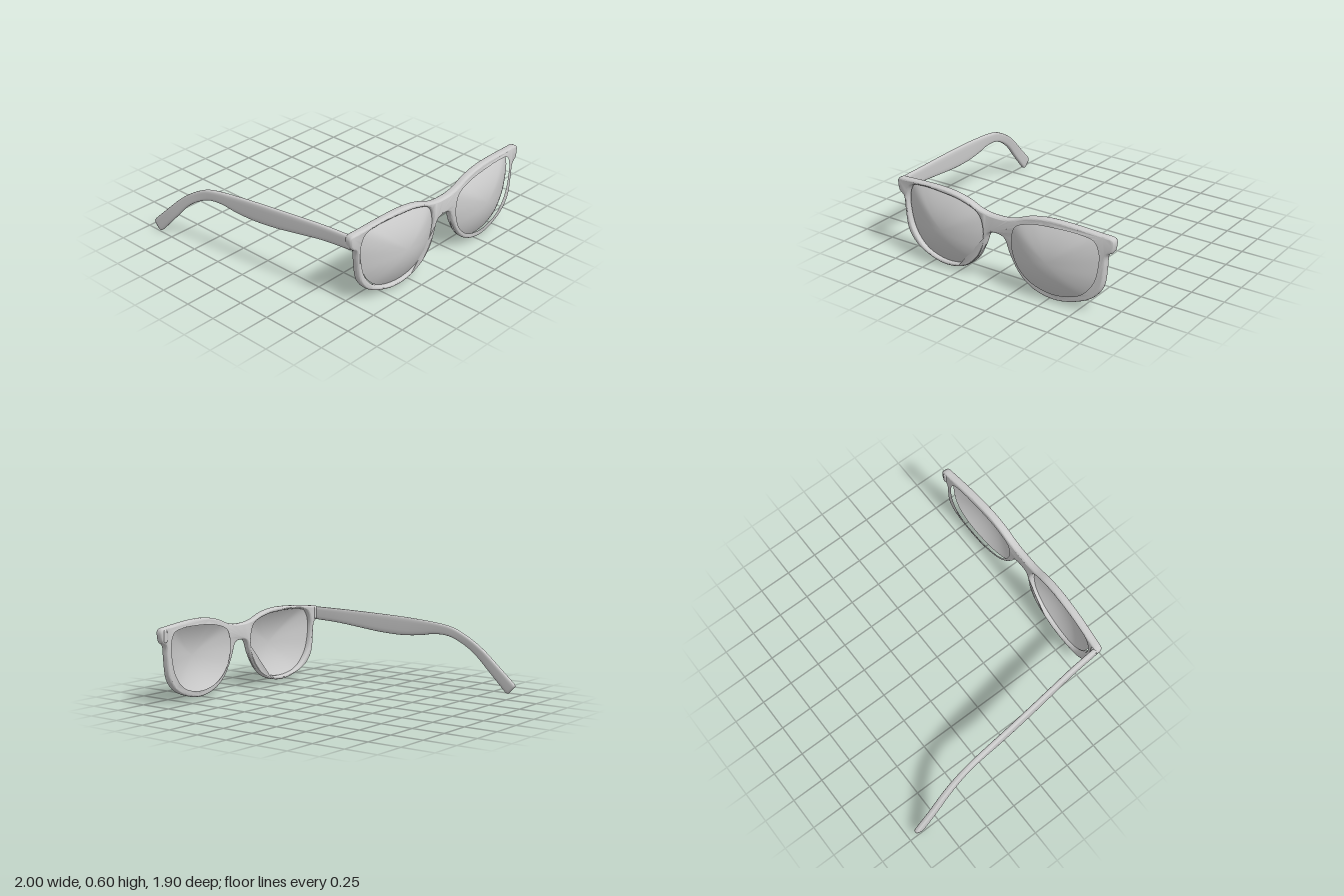
import * as THREE from 'three';
import { toCreasedNormals, mergeVertices } from 'three/addons/utils/BufferGeometryUtils.js';
import { RoundedBoxGeometry } from 'three/addons/geometries/RoundedBoxGeometry.js';

const grey = new THREE.MeshStandardMaterial({ color: 0xcccccc });
const thin = new THREE.MeshStandardMaterial({ color: 0xcccccc, side: THREE.DoubleSide });
const CX = 0.09; // middle of the bridge

// The front sweeps back towards both ends
const bend = (u) => 0.88 - 0.05 * (u / 0.91) ** 2;

function smoothLoop(pts, n) {
  const curve = new THREE.CatmullRomCurve3(pts.map(([x, y]) => new THREE.Vector3(x, y, 0)), true, 'centripetal');
  return curve.getSpacedPoints(n).slice(0, n).map((p) => new THREE.Vector2(p.x, p.y));
}

// Surface through rings of equal point count; the rings are closed loops
function loft(rings) {
  const n = rings[0].length, index = [];
  for (let i = 0; i < rings.length - 1; i++) {
    for (let j = 0; j < n; j++) {
      const a = i * n + j, b = i * n + (j + 1) % n;
      index.push(a, b, a + n, b, b + n, a + n);
    }
  }
  const geo = new THREE.BufferGeometry();
  geo.setAttribute('position', new THREE.Float32BufferAttribute(rings.flat(2), 3));
  geo.setIndex(index);
  const merged = mergeVertices(geo, 1e-5);
  merged.computeVertexNormals();
  return merged;
}

function add(group, name, geo, material = grey) {
  const mesh = new THREE.Mesh(geo, material);
  mesh.name = name;
  group.add(mesh);
  return mesh;
}

// Half outline of the frame, bridge top to bridge underside
const half = [
  [0, 0.52], [0.07, 0.523], [0.15, 0.54], [0.25, 0.578], [0.38, 0.603], [0.52, 0.607], [0.68, 0.598],
  [0.82, 0.585], [0.89, 0.577], [0.907, 0.562], [0.904, 0.5], [0.892, 0.473], [0.862, 0.455], [0.85, 0.43],
  [0.845, 0.36], [0.82, 0.2], [0.75, 0.11], [0.61, 0.045], [0.455, 0.022], [0.295, 0.06], [0.19, 0.14],
  [0.11, 0.27], [0.07, 0.37], [0.045, 0.388], [0, 0.394],
];
// Lens opening
const opening = [
  [0.118, 0.4], [0.155, 0.5], [0.295, 0.555], [0.455, 0.572], [0.67, 0.571], [0.775, 0.545], [0.815, 0.46],
  [0.808, 0.33], [0.775, 0.22], [0.695, 0.12], [0.59, 0.071], [0.43, 0.055], [0.27, 0.1], [0.17, 0.19], [0.125, 0.3],
];

function frameGeometry() {
  const mirrored = half.slice(1, -1).reverse().map(([u, y]) => [-u, y]);
  const shape = new THREE.Shape(smoothLoop([...half, ...mirrored], 260));
  for (const s of [1, -1]) {
    shape.holes.push(new THREE.Path(smoothLoop(opening.map(([u, y]) => [s * u, y]), 110)));
  }
  const geo = new THREE.ExtrudeGeometry(shape, {
    depth: 0.016, bevelThickness: 0.022, bevelSize: 0.014, bevelOffset: -0.014, bevelSegments: 5,
  });
  const p = geo.attributes.position;
  for (let i = 0; i < p.count; i++) p.setZ(i, p.getZ(i) - 0.008 + bend(p.getX(i)));
  return toCreasedNormals(geo, 0.9);
}

function lensGeometry(side) {
  const c = [0.46, 0.32], steps = 16;
  const edge = smoothLoop(opening, 90);
  const rings = [];
  for (let k = 0; k <= steps; k++) {
    const r = 1 - k / steps;
    const ring = edge.map((e) => {
      const u = c[0] + (e.x - c[0]) * 1.02 * r - 0.018;
      const y = c[1] + (e.y - c[1]) * 1.02 * r;
      return [side * u, y, bend(u) + 0.087 * (1 - r * r)];
    });
    rings.push(side > 0 ? ring.reverse() : ring);
  }
  return loft(rings);
}

// Temple stations: [z top, y top, z bottom, y bottom, x middle]
const stations = [
  [0.84, 0.572, 0.84, 0.47, -0.794], [0.6, 0.567, 0.6, 0.455, -0.811], [0.4, 0.56, 0.4, 0.43, -0.832],
  [0.2, 0.551, 0.2, 0.405, -0.853], [0, 0.54, 0, 0.395, -0.873], [-0.17, 0.526, -0.15, 0.405, -0.888],
  [-0.31, 0.51, -0.28, 0.424, -0.9], [-0.43, 0.485, -0.4, 0.415, -0.911], [-0.57, 0.415, -0.505, 0.37, -0.925],
  [-0.68, 0.335, -0.61, 0.295, -0.941], [-0.8, 0.22, -0.735, 0.16, -0.962], [-0.95, 0.075, -0.88, 0.002, -0.981],
];

function templeGeometry() {
  const line = (f) => new THREE.CatmullRomCurve3(stations.map(f));
  const top = line((s) => new THREE.Vector3(s[4], s[1], s[0]));
  const bottom = line((s) => new THREE.Vector3(s[4], s[3], s[2]));
  const rings = [], n = 28, steps = 70;
  const round = (v) => Math.sign(v) * Math.abs(v) ** 0.55;
  const ring = (t, scale) => {
    const a = top.getPoint(t), b = bottom.getPoint(t);
    const mid = a.clone().add(b).multiplyScalar(0.5), up = a.sub(b).multiplyScalar(0.5 * scale);
    return Array.from({ length: n }, (_, j) => {
      const q = (j / n) * Math.PI * 2, h = round(Math.sin(q));
      return [mid.x + 0.019 * scale * round(Math.cos(q)), mid.y + up.y * h, mid.z + up.z * h];
    });
  };
  rings.push(ring(0, 0), ring(0, 0.9));
  for (let i = 0; i <= steps; i++) rings.push(ring((i / steps) * 0.99, 1));
  rings.push(ring(0.997, 0.93), ring(1, 0.8), ring(1, 0));
  return loft(rings.map((r) => r.reverse()));
}

export function createModel() {
  const model = new THREE.Group();
  model.name = 'glasses';

  const front = new THREE.Group();
  front.name = 'front';
  front.position.x = CX;
  model.add(front);
  add(front, 'frame', frameGeometry());
  add(front, 'leftLens', lensGeometry(1), thin);
  add(front, 'rightLens', lensGeometry(-1), thin);

  // Hinge blocks behind the end pieces
  for (const s of [1, -1]) {
    const hinge = add(front, s > 0 ? 'leftHinge' : 'rightHinge', new RoundedBoxGeometry(0.035, 0.095, 0.045, 3, 0.012));
    hinge.position.set(s * 0.868, 0.522, 0.819);
  }

  // Only the right temple is fitted
  add(model, 'rightTemple', templeGeometry());
  return model;
}
